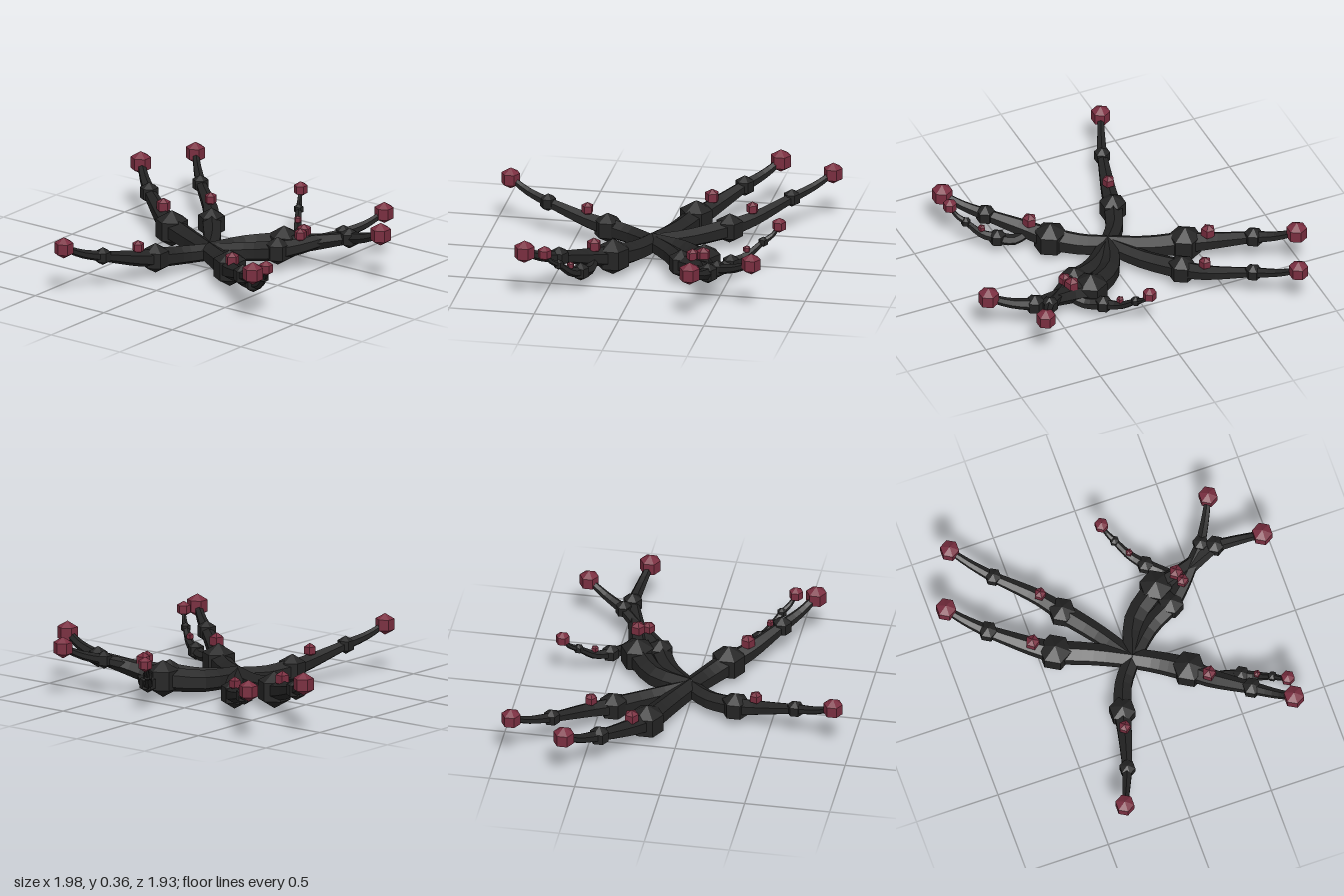
import * as THREE from 'three';

const bark = new THREE.MeshStandardMaterial({ color: 0x242424, flatShading: true });
bark.name = 'charcoal';
const bud = new THREE.MeshStandardMaterial({ color: 0x7a2e40, flatShading: true });
bud.name = 'dark crimson';

// root: start; via: bend before the big joint; each joint is [x, z]; s: overall size
const arms = [
  { root: [0, 0], via: [-0.2, -0.10], joint: [-0.41, -0.18], thorn: [-0.525, -0.25], mid: [-0.745, -0.40], tip: [-0.94, -0.575], s: 1, jr: 0.11 },
  { root: [0, 0], via: [-0.13, -0.20], joint: [-0.29, -0.40], thorn: [-0.385, -0.515], mid: [-0.605, -0.705], tip: [-0.80, -0.91], s: 0.86, jr: 0.09 },
  { root: [0, 0], via: [-0.10, 0.13], joint: [-0.165, 0.295], thorn: [-0.195, 0.42], mid: [-0.265, 0.665], tip: [-0.365, 0.905], s: 0.86, jr: 0.09 },
  { root: [0, 0], via: [0.13, 0.07], joint: [0.285, 0.175], thorn: [0.375, 0.27], mid: [0.58, 0.435], tip: [0.78, 0.60], s: 1, jr: 0.11 },
  { root: [0, 0], via: [0.09, -0.22], joint: [0.27, -0.36], thorn: [0.40, -0.38], mid: [0.67, -0.46], tip: [0.94, -0.405], s: 1, jr: 0.11 },
  { root: [0, 0], via: [0.16, -0.15], joint: [0.32, -0.235], thorn: [0.42, -0.32], mid: [0.595, -0.50], tip: [0.72, -0.725], s: 0.86, jr: 0.085 },
  // small side branches
  { root: [0.38, 0.27], via: [0.47, 0.275], joint: [0.56, 0.31], thorn: [0.64, 0.355], mid: [0.715, 0.41], tip: [0.785, 0.48], s: 0.5, jr: 0.055, side: true },
  { root: [0.42, -0.37], via: [0.35, -0.44], joint: [0.26, -0.515], thorn: [0.19, -0.595], mid: [0.13, -0.68], tip: [0.08, -0.765], s: 0.5, jr: 0.055, side: true },
];

const at = ([x, z], y) => new THREE.Vector3(x, y, z);

// Faceted knob with its pole upward
function knob(name, p, r, sides, material) {
  const geometry = new THREE.SphereGeometry(r, sides, 3);
  geometry.rotateY(Math.PI / 2);
  const mesh = new THREE.Mesh(geometry, material);
  mesh.name = name;
  mesh.position.copy(p);
  return mesh;
}

// Six-sided tube whose rings are scaled along the length
function limb(name, points, radii) {
  const curve = new THREE.CatmullRomCurve3(points);
  const steps = 6;
  const sides = 6;
  const geometry = new THREE.TubeGeometry(curve, steps, 1, sides);
  const pos = geometry.attributes.position;
  const v = new THREE.Vector3();
  for (let i = 0; i < pos.count; i++) {
    const u = Math.floor(i / (sides + 1)) / steps;
    const c = curve.getPointAt(u);
    const r = THREE.MathUtils.lerp(radii[0], radii[1], u);
    v.fromBufferAttribute(pos, i).sub(c).multiplyScalar(r).add(c);
    pos.setXYZ(i, v.x, v.y, v.z);
  }
  const mesh = new THREE.Mesh(geometry, bark);
  mesh.name = name;
  return mesh;
}

function makeArm(a) {
  const group = new THREE.Group();
  group.name = a.side ? 'sideBranch' : 'arm';
  const s = a.s;
  const root = at(a.root, a.side ? 0.13 : 0.1);
  const joint = at(a.joint, 0.11);
  const thorn = at(a.thorn, a.side ? 0.175 : 0.205);
  const mid = at(a.mid, a.side ? 0.205 : 0.2);
  const tip = at(a.tip, 0.295);
  const under = at(a.thorn, 0.135);

  // tapering limbs between the joints
  group.add(limb('upperLimb', [root, at(a.via, 0.095), joint], [0.06 * s, 0.072 * s]));
  group.add(limb('middleLimb', [joint, under, mid], [0.065 * s, 0.036 * s]));
  const bend = mid.clone().lerp(tip, 0.5);
  bend.y -= 0.008;
  // the outer limb keeps the direction of the middle one for a while
  const d = mid.clone().sub(under).setY(0).normalize();
  bend.addScaledVector(d, 0.012);
  group.add(limb('outerLimb', [mid, bend, tip], [0.038 * s, 0.022 * s]));

  // joints, thorn bud and end bud
  group.add(knob('bigJoint', joint, a.jr, 6, bark));
  group.add(knob('smallJoint', mid, 0.063 * s, 6, bark));
  group.add(knob('thornBud', thorn, 0.048 * s, 5, bud));
  group.add(knob('endBud', tip, a.side ? 0.046 : 0.069 * (0.5 + s / 2), 6, bud));
  return group;
}

export function createModel() {
  const model = new THREE.Group();
  model.name = 'branchingCreeper';
  arms.forEach((a) => model.add(makeArm(a)));
  return model;
}
